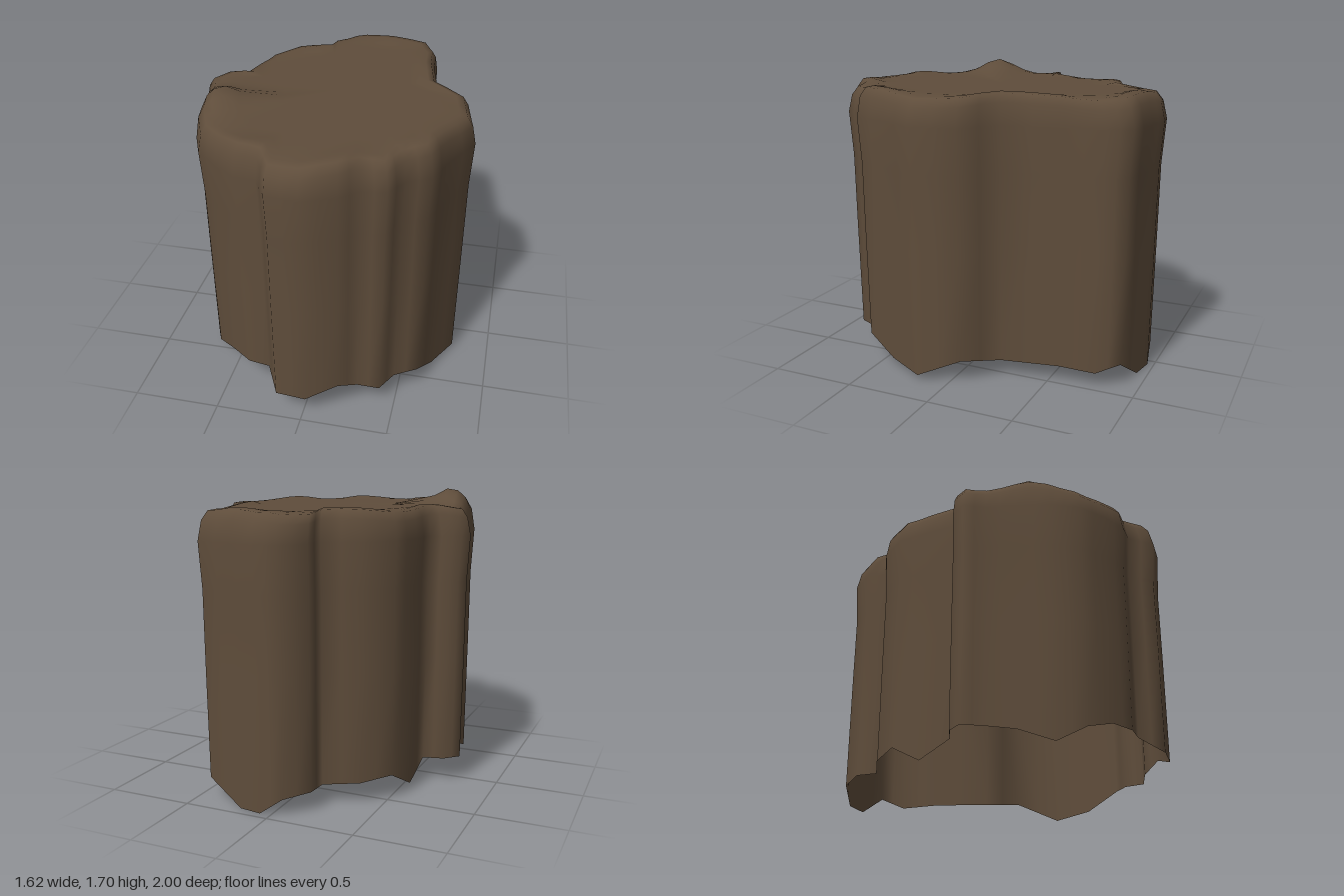
import * as THREE from 'three';

// Outline corners going round the stump: x, z, height of the ragged lower edge
const OUTLINE = [
  [0.06, -1.0, 0.01], [0.2, -0.97, 0.005], [0.42, -0.93, 0.14], [0.485, -0.8, 0.09],
  [0.5, -0.58, 0.1], [0.56, -0.24, 0.1], [0.76, -0.07, 0.14], [0.81, 0.19, 0.03],
  [0.7, 0.42, 0.05], [0.63, 0.62, 0.15], [0.5, 0.69, 0.14], [0.43, 0.81, 0.13],
  [0.3, 0.83, 0.15], [0.2, 0.92, 0.2], [0.02, 0.995, 0.13], [-0.16, 0.98, 0.13],
  [-0.24, 0.84, 0.2], [-0.37, 0.82, 0.2], [-0.5, 0.73, 0.2], [-0.63, 0.61, 0.15],
  [-0.7, 0.45, 0.06], [-0.73, 0.25, 0.13], [-0.76, 0.08, 0.15], [-0.81, -0.04, 0.15],
  [-0.73, -0.12, 0.15], [-0.61, -0.15, 0.15], [-0.59, -0.33, 0.05], [-0.54, -0.51, 0.15],
  [-0.4, -0.65, 0.13], [-0.2, -0.73, 0.12], [-0.19, -0.86, 0.12], [-0.07, -0.98, 0.1],
];

// Rings above the lower edge: scale of the outline, height
const RINGS = [
  [0.975, 0.75], [0.98, 1.2], [1, 1.46], [0.975, 1.57], [0.935, 1.618],
  [0.88, 1.625], [0.8, 1.62], [0.7, 1.62], [0.4, 1.62],
];

// Small lumps round the rim and one knob on the right-hand edge
function topRelief(x, z, scale, i) {
  const rim = scale > 0.85 && scale < 0.98 ? 0.012 * Math.sin(i * 0.8) : 0;
  const d = ((x + 0.57) / 0.1) ** 2 + ((z - 0.29) / 0.13) ** 2;
  return rim + 0.09 * Math.exp(-d);
}

function stumpGeometry() {
  // Corners with a midpoint on each side
  const loop = OUTLINE.flatMap((a, i) => {
    const b = OUTLINE[(i + 1) % OUTLINE.length];
    return [a, a.map((v, k) => (v + b[k]) / 2)];
  });
  const n = loop.length;
  const positions = [];
  const index = [];

  // Ragged lower edge, then the rings of wall, rim and top
  for (const [x, z, y] of loop) positions.push(x * 0.965, y, z * 0.965);
  for (const [s, h] of RINGS) {
    loop.forEach(([x, z], i) => {
      const lift = h > 1.5 ? topRelief(x * s, z * s, s, i) : 0;
      positions.push(x * s, h + lift, z * s);
    });
  }
  for (let r = 0; r < RINGS.length; r++) {
    for (let i = 0; i < n; i++) {
      const a = r * n + i, b = r * n + ((i + 1) % n);
      index.push(a, a + n, b, b, a + n, b + n);
    }
  }

  // Centre of the top
  const centre = positions.length / 3;
  positions.push(0, 1.62, 0);
  for (let i = 0; i < n; i++) {
    const base = RINGS.length * n;
    index.push(base + i, centre, base + ((i + 1) % n));
  }

  const geometry = new THREE.BufferGeometry();
  geometry.setAttribute('position', new THREE.Float32BufferAttribute(positions, 3));
  geometry.setIndex(index);
  geometry.computeVertexNormals();
  return geometry;
}

export function createModel() {
  const group = new THREE.Group();
  group.name = 'stump';
  const bark = new THREE.MeshStandardMaterial({ color: 0x5f4d3b, side: THREE.DoubleSide });
  bark.name = 'brown bark';
  const shell = new THREE.Mesh(stumpGeometry(), bark);
  shell.name = 'stumpShell';
  group.add(shell);
  return group;
}
